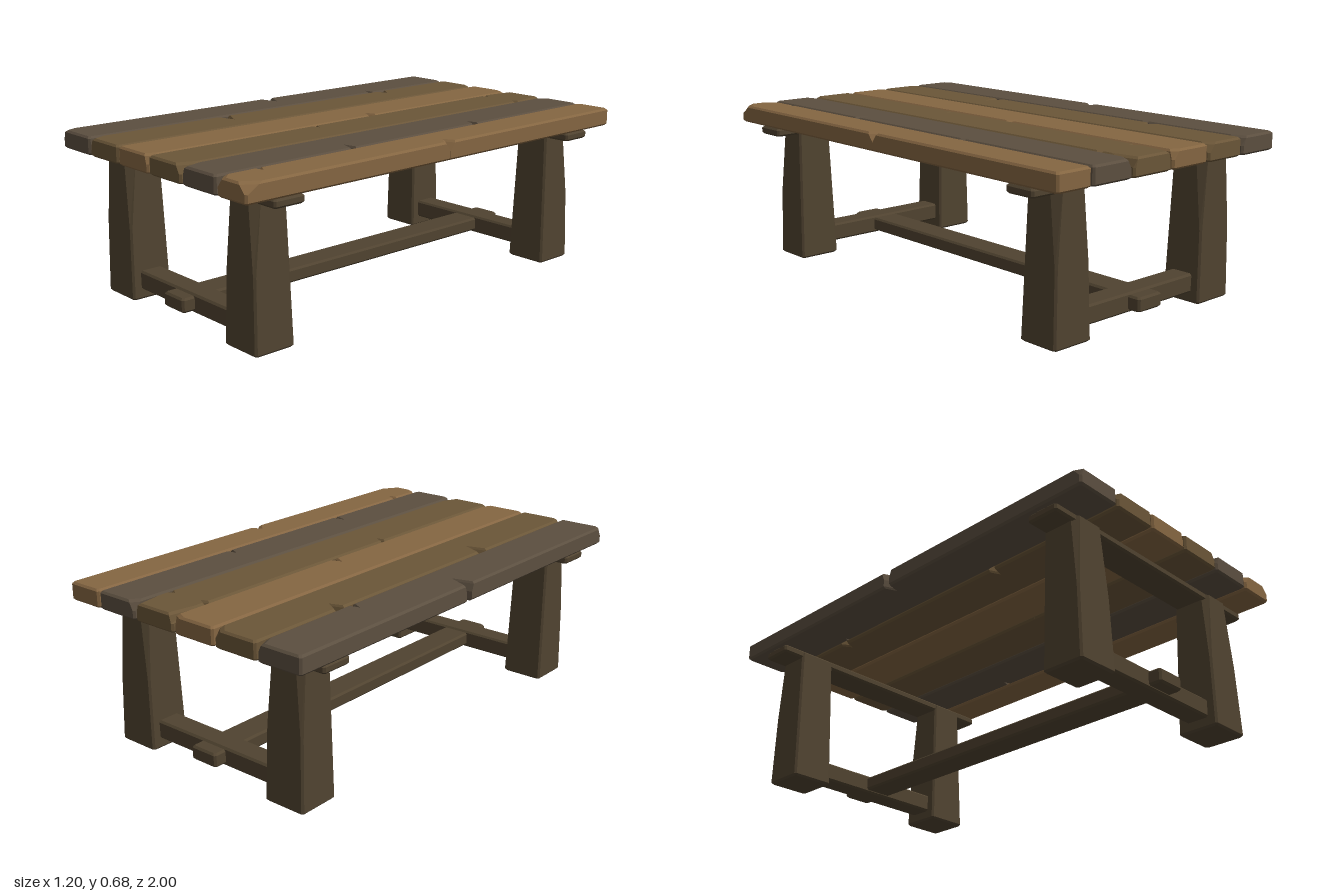
import * as THREE from 'three';

const wood = (color) => new THREE.MeshStandardMaterial({ color, flatShading: true, side: THREE.DoubleSide });
const DARK = wood(0x5c4f40), MID = wood(0x6b5638), LIGHT = wood(0x856642), FRAME = wood(0x504330);
const mix = THREE.MathUtils.lerp;

// Outline in x/z, counter-clockwise from above, starting front left.
// corners: cut size [dx, dz] for front left, front right, back right, back left.
// notches: { side, z, depth, width, keep } where keep is the share left at the underside.
function outline([x0, x1, z0, z1], bevel, corners, notches, chip) {
  const cut = (i) => {
    const c = corners[i] || [0, 0];
    return [bevel + c[0] * chip, bevel + c[1] * chip];
  };
  const [fl, fr, br, bl] = [0, 1, 2, 3].map(cut);
  const p = [[x0 + fl[0], z1], [x1 - fr[0], z1], [x1, z1 - fr[1]]];
  const edge = (side) => {
    const x = side > 0 ? x1 : x0;
    notches.filter((n) => n.side === side).sort((a, b) => side * (b.z - a.z)).forEach((n) => {
      const s = Math.max(0.02, mix(n.keep, 1, chip));
      const w = side * n.width * s / 2;
      p.push([x, n.z + w], [x - side * n.depth * s, n.z - w * 0.25], [x, n.z - w]);
    });
  };
  edge(1);
  p.push([x1, z0 + br[1]], [x1 - br[0], z0], [x0 + bl[0], z0], [x0, z0 + bl[1]]);
  edge(-1);
  p.push([x0, z1 - fl[1]]);
  return p;
}

// Chamfered block that runs from a bottom rectangle to a top rectangle.
function block(bottom, top, y0, y1, { bevel = 0.008, corners = [], notches = [] } = {}) {
  const levels = [[y0, bevel], [y0 + bevel, 0], [(y0 + y1) / 2, 0], [y1 - bevel, 0], [y1, bevel]];
  const rings = levels.map(([y, inset]) => {
    const t = (y - y0) / (y1 - y0);
    const rect = bottom.map((v, i) => mix(v, top[i], t) + (i % 2 ? -inset : inset));
    return outline(rect, bevel, corners, notches, Math.max(0, t * 2 - 1)).map(([x, z]) => [x, y, z]);
  });
  const n = rings[0].length, index = [], last = (rings.length - 1) * n;
  for (let r = 0; r < rings.length - 1; r++) {
    for (let i = 0; i < n; i++) {
      const a = r * n + i, b = r * n + (i + 1) % n;
      index.push(a, b, b + n, a, b + n, a + n);
    }
  }
  const cap = (ring) => THREE.ShapeUtils.triangulateShape(ring.map(([x, , z]) => new THREE.Vector2(x, -z)), []);
  cap(rings[0]).forEach(([a, b, c]) => index.push(a, c, b));
  cap(rings[rings.length - 1]).forEach(([a, b, c]) => index.push(last + a, last + b, last + c));
  const g = new THREE.BufferGeometry();
  g.setAttribute('position', new THREE.Float32BufferAttribute(rings.flat(2), 3));
  g.setIndex(index);
  const flat = g.toNonIndexed();
  flat.computeVertexNormals();
  return flat;
}

export function createModel() {
  const table = new THREE.Group();
  table.name = 'table';
  const add = (name, geometry, material) => {
    const m = new THREE.Mesh(geometry, material);
    m.name = name;
    table.add(m);
  };
  const notch = (side, z, depth, width, keep = 0) => ({ side, z, depth, width, keep });

  // Table top: six worn planks
  const planks = [
    { x: [-0.6, -0.4], mat: DARK, corners: [[0.01, 0.03], 0, [0.015, 0.05]],
      notches: [notch(-1, -0.035, 0.085, 0.06, 0.55), notch(1, -0.51, 0.04, 0.03, 0.4)] },
    { x: [-0.392, -0.194], mat: MID, corners: [[0.015, 0.04], 0, [0.03, 0.03]],
      notches: [notch(-1, -0.56, 0.05, 0.05, 0.75), notch(-1, 0.36, 0.08, 0.06, 0.5)] },
    { x: [-0.186, 0.012], mat: LIGHT, corners: [0, [0.01, 0.03], [0.03, 0.01]],
      notches: [notch(1, -0.13, 0.045, 0.04)] },
    { x: [0.02, 0.222], mat: MID, corners: [0, [0.02, 0.06], [0.01, 0.1], [0.01, 0.1]],
      notches: [notch(-1, 0.21, 0.035, 0.025), notch(-1, -0.83, 0.03, 0.03), notch(1, -0.83, 0.025, 0.03)] },
    { x: [0.23, 0.428], mat: DARK, corners: [[0.012, 0.06], 0, 0, [0.02, 0.03]],
      notches: [notch(1, -0.32, 0.045, 0.03, 0.7), notch(1, 0.36, 0.06, 0.03)] },
    { x: [0.436, 0.6], mat: LIGHT, corners: [[0.03, 0.03], [0.035, 0.06]],
      notches: [notch(-1, 0.825, 0.035, 0.03), notch(1, 0.015, 0.045, 0.06)] },
  ];
  planks.forEach(({ x, mat, corners, notches }, i) => {
    const rect = [...x, -1, 1];
    add(`plank${i + 1}`, block(rect, rect, 0.605, 0.68, { corners, notches }), mat);
  });

  // Each end: two tapered legs, a top rail and a low rail
  for (const s of [1, -1]) {
    const end = s > 0 ? 'front' : 'back';
    const span = (x0, x1, a, b) => [x0, x1, Math.min(s * a, s * b), Math.max(s * a, s * b)];
    const worn = s > 0 ? [[0.02, 0.015], [0.02, 0.03]] : [0, 0, [0.02, 0.03], [0.02, 0.015]];
    add(`${end}RightLeg`, block(span(-0.495, -0.308, 0.71, 0.89), span(-0.49, -0.325, 0.727, 0.877),
      0, 0.598, { corners: worn }), FRAME);
    add(`${end}LeftLeg`, block(span(0.305, 0.492, 0.71, 0.89), span(0.322, 0.475, 0.727, 0.877),
      0, 0.598, { corners: worn }), FRAME);
    const rail = span(-0.585, 0.585, 0.73, 0.868);
    add(`${end}TopRail`, block(rail, rail, 0.565, 0.6), FRAME);
    const low = span(-0.335, 0.335, 0.75, 0.85);
    add(`${end}LowRail`, block(low, low, 0.042, 0.12), FRAME);
  }

  // Long stretcher passing through both low rails
  const beam = [-0.066, 0.064, -0.905, 0.905];
  add('stretcher', block(beam, beam, 0.053, 0.112), FRAME);
  return table;
}
